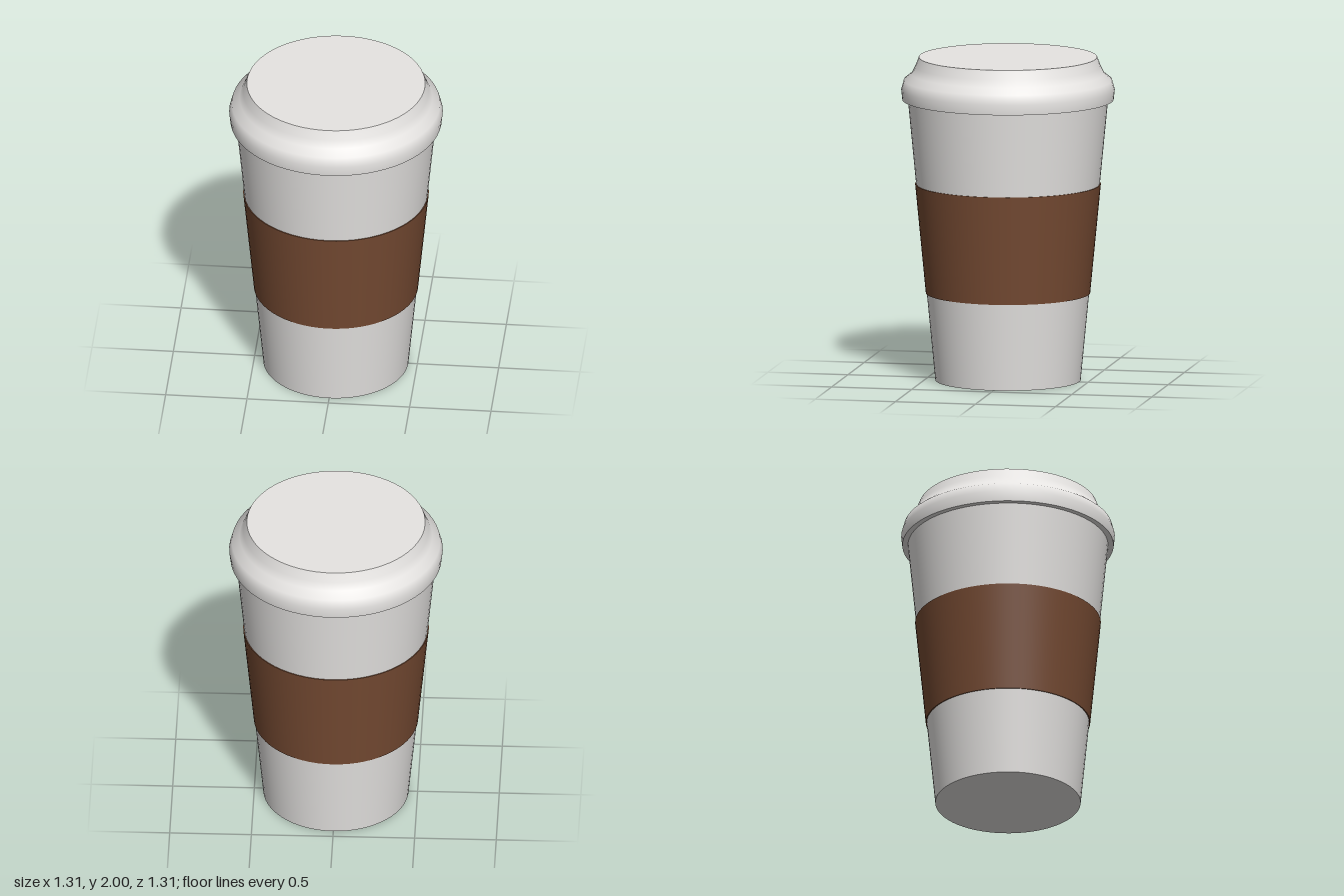
import * as THREE from 'three';

const SEGMENTS = 64;

export function createModel() {
  const cupWhite = new THREE.MeshStandardMaterial({ color: 0xe6e4e2 });
  const sleeveBrown = new THREE.MeshStandardMaterial({ color: 0x754a32 });
  cupWhite.name = 'cupWhite';
  sleeveBrown.name = 'sleeveBrown';

  const model = new THREE.Group();
  model.name = 'takeawayCup';

  // Each profile is revolved separately, so edges between profiles stay sharp.
  function addPart(name, material, profiles) {
    const part = new THREE.Group();
    part.name = name;
    profiles.forEach((profile, i) => {
      const points = profile.map(([r, y]) => new THREE.Vector2(r, y));
      const mesh = new THREE.Mesh(new THREE.LatheGeometry(points, SEGMENTS), material);
      mesh.name = `${name}Surface${i + 1}`;
      part.add(mesh);
    });
    model.add(part);
  }

  // Radius of the tapered cup wall at a given height
  const wall = (y) => 0.445 + (0.168 / 1.737) * y;

  // Cup: base disc and tapered wall
  addPart('cup', cupWhite, [
    [[0, 0], [wall(0), 0]],
    [[wall(0), 0], [wall(1.74), 1.74]],
  ]);

  // Sleeve: thin band with closed lower and upper edges
  const low = 0.54, high = 1.215, gap = 0.006;
  addPart('sleeve', sleeveBrown, [
    [[wall(low), low], [wall(low) + gap, low]],
    [[wall(low) + gap, low], [wall(high) + gap, high]],
    [[wall(high) + gap, high], [wall(high), high]],
  ]);

  // Lid: underside of the rim, rounded shoulder, flat top
  addPart('lid', cupWhite, [
    [[0.6, 1.737], [0.647, 1.737]],
    [[0.647, 1.737], [0.654, 1.8], [0.638, 1.858], [0.59, 1.897], [0.568, 1.943], [0.546, 2]],
    [[0.546, 2], [0, 2]],
  ]);

  return model;
}
